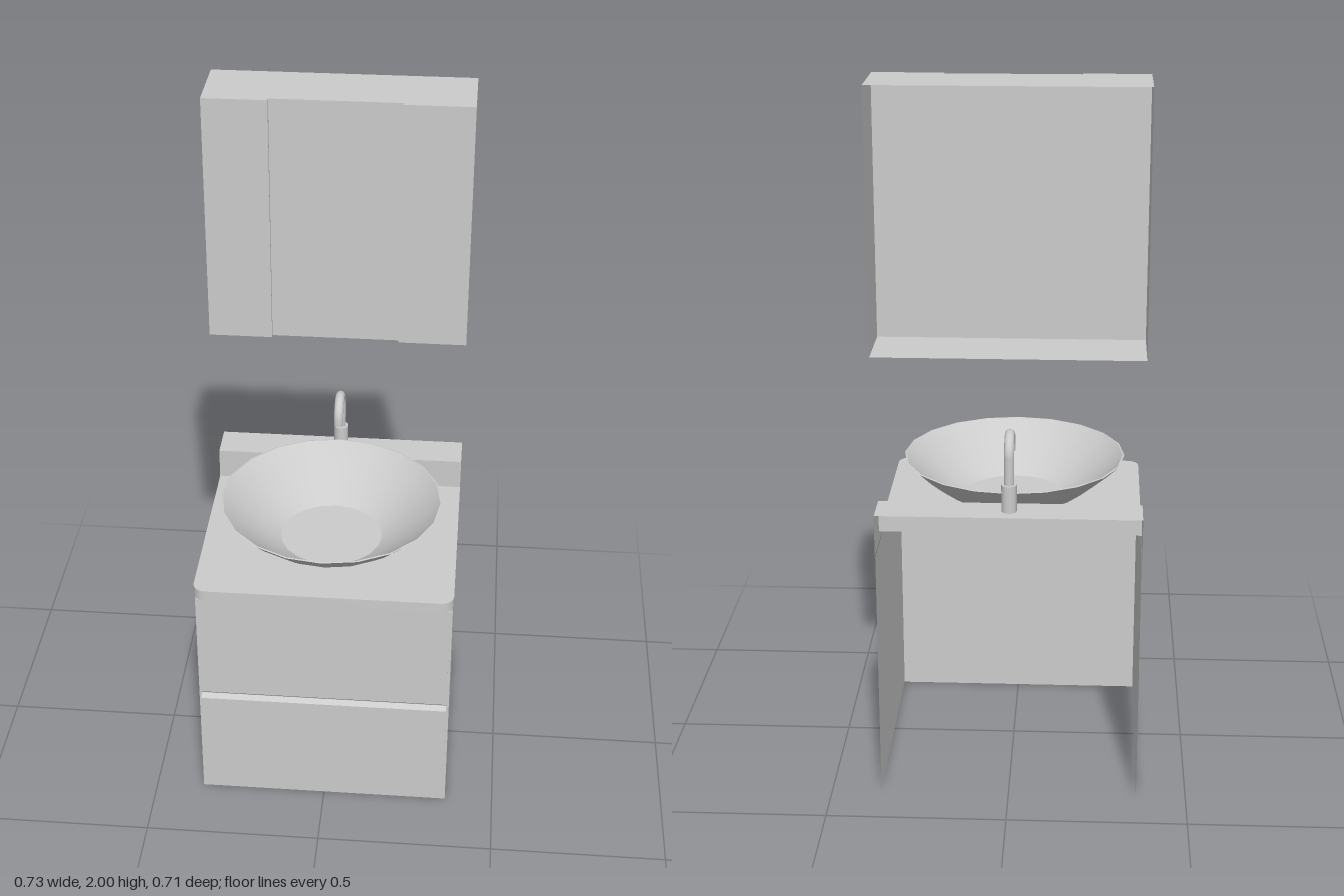
import * as THREE from 'three';
import { toCreasedNormals } from 'three/addons/utils/BufferGeometryUtils.js';

const material = new THREE.MeshStandardMaterial({ color: 0xcccccc, side: THREE.DoubleSide });

function add(parent, name, geometry) {
  const mesh = new THREE.Mesh(geometry, material);
  mesh.name = name;
  parent.add(mesh);
  return mesh;
}

// Box given by its limits on each axis
function box(parent, name, x0, x1, y0, y1, z0, z1) {
  const mesh = add(parent, name, new THREE.BoxGeometry(x1 - x0, y1 - y0, z1 - z0));
  mesh.position.set((x0 + x1) / 2, (y0 + y1) / 2, (z0 + z1) / 2);
  return mesh;
}

// Flat sheet; rotation turns it from facing +z
function sheet(parent, name, w, h, position, rx = 0, ry = 0) {
  const mesh = add(parent, name, new THREE.PlaneGeometry(w, h));
  mesh.position.set(...position);
  mesh.rotation.set(rx, ry, 0);
  return mesh;
}

// Drawer front: (z, y) side profile extruded across x
function drawerFront(parent, name, profile, width) {
  const shape = new THREE.Shape(profile.map(([z, y]) => new THREE.Vector2(-z, y)));
  const geo = new THREE.ExtrudeGeometry(shape, { depth: width, bevelEnabled: false });
  geo.translate(0, 0, -width / 2).rotateY(Math.PI / 2);
  add(parent, name, geo);
}

function createVanity() {
  const g = new THREE.Group();
  g.name = 'vanityCabinet';
  // Carcass: two sides and a front, open at the back and underneath
  for (const s of [-1, 1]) {
    sheet(g, s > 0 ? 'leftSide' : 'rightSide', 0.661, 0.72, [s * 0.361, 0.36, -0.0275], 0, s * Math.PI / 2);
  }
  sheet(g, 'frontPanel', 0.722, 0.72, [0, 0.36, 0.303]);
  // Drawers with slanted finger grip between them
  drawerFront(g, 'upperDrawer', [[0.303, 0.361], [0.315, 0.373], [0.315, 0.706], [0.303, 0.706]], 0.708);
  drawerFront(g, 'lowerDrawer', [[0.303, 0.015], [0.315, 0.015], [0.315, 0.348], [0.303, 0.36]], 0.708);
  return g;
}

function createCountertop() {
  const g = new THREE.Group();
  g.name = 'countertop';
  const w = 0.363, front = 0.335, back = -0.245, rear = -0.353, r = 0.036;
  const top = 0.75, under = 0.718, splashTop = 0.84;

  // Top plate with rounded front corners (shape y is -z)
  const outline = new THREE.Shape();
  outline.moveTo(-w, -back);
  outline.lineTo(-w, -front + r);
  outline.absarc(-w + r, -front + r, r, Math.PI, Math.PI * 1.5, false);
  outline.lineTo(w - r, -front);
  outline.absarc(w - r, -front + r, r, Math.PI * 1.5, Math.PI * 2, false);
  outline.lineTo(w, -back);
  const plate = new THREE.ShapeGeometry(outline, 8);
  plate.rotateX(-Math.PI / 2).translate(0, top, 0);
  add(g, 'counterTop', plate);

  // Skirt hanging from the edge of the plate
  const pts = outline.getPoints(8);
  const positions = [], index = [];
  pts.forEach((p, i) => {
    positions.push(p.x, under, -p.y, p.x, top, -p.y);
    if (i) {
      const a = 2 * i - 2;
      index.push(a, a + 2, a + 1, a + 1, a + 2, a + 3);
    }
  });
  const skirt = new THREE.BufferGeometry();
  skirt.setAttribute('position', new THREE.Float32BufferAttribute(positions, 3));
  skirt.setIndex(index);
  skirt.computeVertexNormals();
  add(g, 'counterEdge', toCreasedNormals(skirt, 0.6));

  // Backsplash ledge, open at the back
  const depth = back - rear, mid = (back + rear) / 2;
  sheet(g, 'ledgeFront', 2 * w, splashTop - top, [0, (splashTop + top) / 2, back]);
  sheet(g, 'ledgeTop', 2 * w, depth, [0, splashTop, mid], -Math.PI / 2);
  for (const s of [-1, 1]) {
    sheet(g, 'ledgeEnd', depth, splashTop - under, [s * w, (splashTop + under) / 2, mid], 0, s * Math.PI / 2);
  }
  return g;
}

function createBasin() {
  // Thin flared bowl: outside upward, over the rim, back down to the floor
  const profile = [
    [0, 0.001], [0.147, 0.001], [0.193, 0.027], [0.238, 0.06], [0.28, 0.095], [0.316, 0.13],
    [0.311, 0.131], [0.275, 0.098], [0.233, 0.064], [0.189, 0.031], [0.146, 0.005], [0, 0.005],
  ].map(([x, y]) => new THREE.Vector2(x, y));
  const g = new THREE.Group();
  g.name = 'basin';
  add(g, 'bowl', toCreasedNormals(new THREE.LatheGeometry(profile, 20), 0.5));
  g.position.set(0, 0.75, 0.038);
  return g;
}

function createFaucet() {
  const g = new THREE.Group();
  g.name = 'faucet';
  const z = -0.3, bend = 0.05, bendY = 0.992, r = 0.0135;
  const base = add(g, 'faucetBase', new THREE.CylinderGeometry(0.021, 0.021, 0.077, 20));
  base.position.set(0, 0.8785, z);

  // Gooseneck: straight riser, half circle, short drop
  const path = new THREE.CurvePath();
  const v = (y, dz) => new THREE.Vector3(0, y, z + dz);
  path.add(new THREE.LineCurve3(v(0.91, 0), v(bendY, 0)));
  const arc = [];
  for (let i = 0; i <= 16; i++) {
    const a = Math.PI * i / 16;
    arc.push(v(bendY + bend * Math.sin(a), bend - bend * Math.cos(a)));
  }
  path.add(new THREE.CatmullRomCurve3(arc));
  path.add(new THREE.LineCurve3(v(bendY, 2 * bend), v(0.98, 2 * bend)));
  add(g, 'spout', new THREE.TubeGeometry(path, 40, r, 16));
  const tip = add(g, 'spoutTip', new THREE.CircleGeometry(r, 16));
  tip.rotation.x = Math.PI / 2;
  tip.position.set(0, 0.98, z + 2 * bend);
  return g;
}

function createMirrorCabinet() {
  const g = new THREE.Group();
  g.name = 'mirrorCabinet';
  const w = 0.363, y0 = 1.29, y1 = 2, rear = -0.358, front = -0.172;
  const mid = (rear + front) / 2, depth = front - rear, cy = (y0 + y1) / 2;
  // Shell, open at the back
  for (const s of [-1, 1]) {
    sheet(g, 'cabinetSide', depth, y1 - y0, [s * w, cy, mid], 0, s * Math.PI / 2);
    sheet(g, s > 0 ? 'cabinetTop' : 'cabinetBottom', 2 * w, depth, [0, s > 0 ? y1 : y0, mid], -s * Math.PI / 2);
  }
  // Centre mirror with a raised door on each side
  box(g, 'centreMirror', -0.185, 0.173, y0, y1, front, -0.166);
  box(g, 'rightDoor', -w, -0.185, y0, y1, front, -0.154);
  box(g, 'leftDoor', 0.173, w, y0, y1, front, -0.154);
  return g;
}

export function createModel() {
  const model = new THREE.Group();
  model.name = 'bathroomVanity';
  model.add(createVanity(), createCountertop(), createBasin(), createFaucet(), createMirrorCabinet());
  return model;
}
